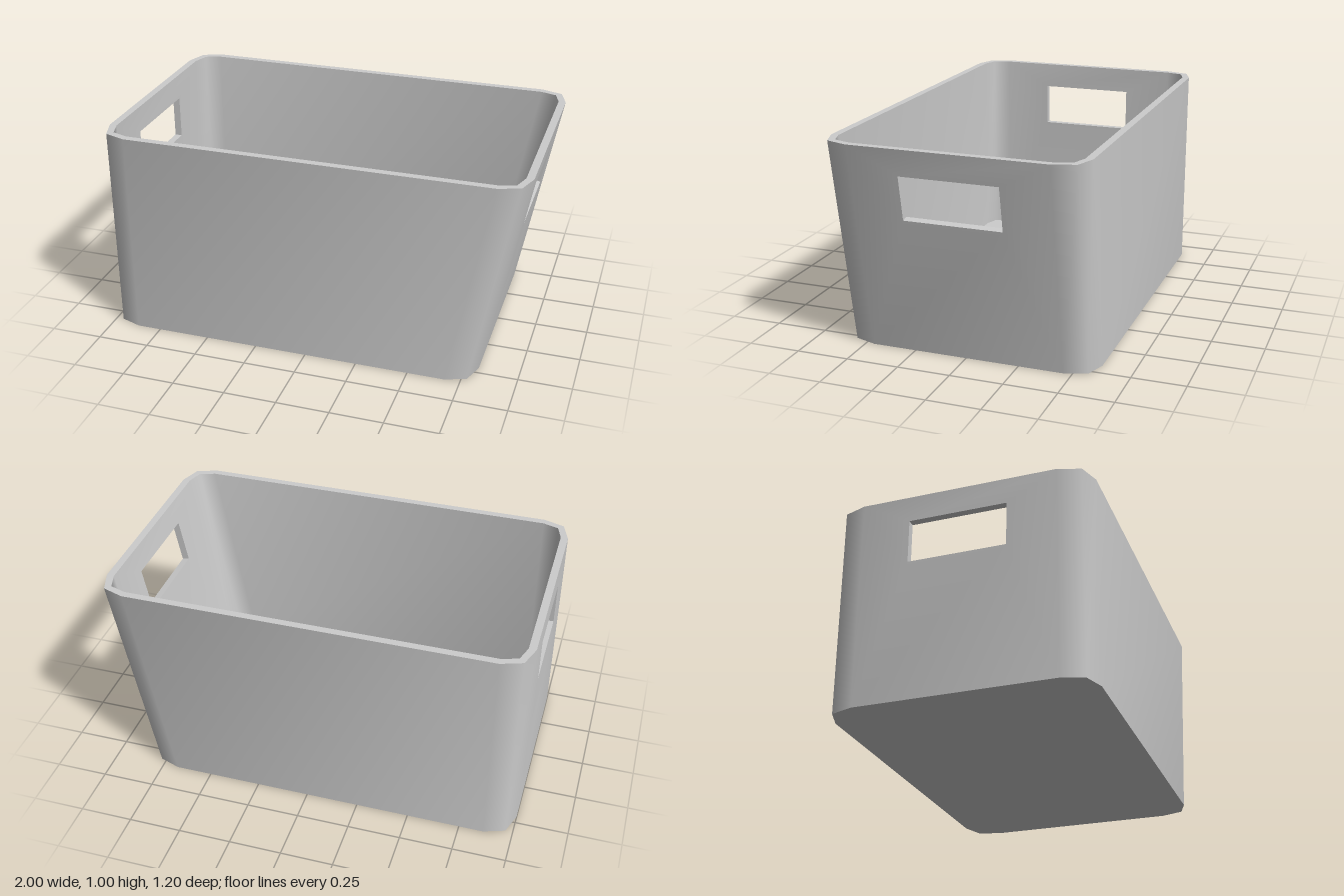
import * as THREE from 'three';
import { toCreasedNormals } from 'three/addons/utils/BufferGeometryUtils.js';

const LEAN = 0.19; // how far the +x end leans in from rim to base
const FLOOR = 0.05;

// A point on the bin; everything on the +x half follows the leaning end
const point = (x, y, z) => [x > 0 ? x - LEAN * (1 - y) : x, y, z];

// Rounded-rectangle loop at height y, mirrored from one corner of three points.
// Segment 5 is the upright end, segment 11 the leaning end.
function loop(corner, y) {
  const back = corner.map(([x, z]) => [x, -z]);
  const half = [...back, ...back.map(([x, z]) => [-x, z]).reverse()];
  return [...half, ...half.map(([x, z]) => [x, -z]).reverse()].map(([x, z]) => point(x, y, z));
}

function meshFrom(name, positions, material) {
  const geometry = new THREE.BufferGeometry();
  geometry.setAttribute('position', new THREE.Float32BufferAttribute(positions, 3));
  const mesh = new THREE.Mesh(toCreasedNormals(geometry, 1.1), material);
  mesh.name = name;
  return mesh;
}

export function createModel() {
  const group = new THREE.Group();
  group.name = 'storageBin';
  const material = new THREE.MeshStandardMaterial({ color: 0xcccccc });

  const outerCorner = [[1, 0.46], [0.965, 0.565], [0.865, 0.6]];
  const innerCorner = [[0.965, 0.46], [0.94, 0.54], [0.865, 0.565]];
  const outerLow = loop(outerCorner, 0), outerTop = loop(outerCorner, 1);
  const innerLow = loop(innerCorner, FLOOR), innerTop = loop(innerCorner, 1);

  const walls = [], base = [], floor = [];
  const quad = (a, b, c, d) => walls.push(...a, ...b, ...c, ...a, ...c, ...d);
  // Band of four quads between two rectangles
  const band = (from, to) => {
    for (let k = 0; k < 4; k++) {
      const n = (k + 1) % 4;
      quad(from[k], from[n], to[n], to[k]);
    }
  };
  // Corners of a handle opening in the end wall at x
  const opening = (x, low, high) => {
    const z = 0.23 * Math.sign(x);
    return [point(x, low, z), point(x, low, -z), point(x, high, -z), point(x, high, z)];
  };

  for (let i = 0; i < 12; i++) {
    const j = (i + 1) % 12;
    const outside = [outerLow[i], outerLow[j], outerTop[j], outerTop[i]];
    const inside = [innerLow[i], innerLow[j], innerTop[j], innerTop[i]];

    if (i === 5 || i === 11) {
      // End wall with a handle opening cut square through it
      const side = i === 5 ? -1 : 1;
      const rise = side > 0 ? 0.007 : 0;
      const outerHole = opening(side, 0.666, 0.875);
      const innerHole = opening(side * 0.965, 0.666 + rise, 0.875 + rise);
      band(outside, outerHole);
      band(outerHole, innerHole);
      band(innerHole, inside);
    } else {
      quad(...outside);
      quad(...inside.reverse());
    }
    // Rim
    quad(outerTop[i], outerTop[j], innerTop[j], innerTop[i]);
    // Underside and inner floor as fans
    base.push(0, 0, 0, ...outerLow[j], ...outerLow[i]);
    floor.push(0, FLOOR, 0, ...innerLow[i], ...innerLow[j]);
  }

  group.add(
    meshFrom('walls', walls, material),
    meshFrom('base', base, material),
    meshFrom('floor', floor, material)
  );
  return group;
}
